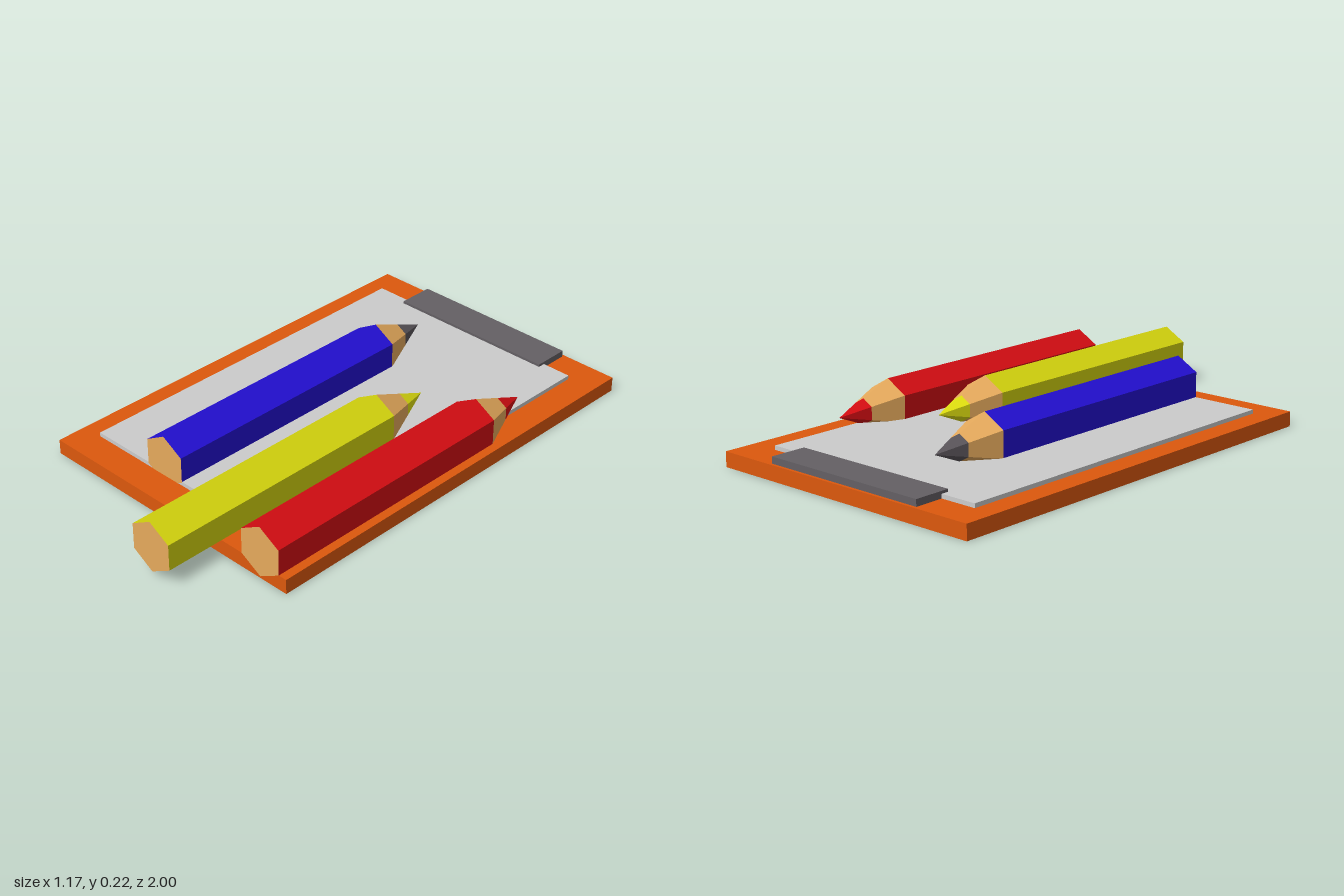
import * as THREE from 'three';

const material = (color) => new THREE.MeshStandardMaterial({ color, flatShading: true });
const WOOD = 0xe6aa5c;

// Box given by its extents on each axis
function slab(name, color, [x0, x1], [y0, y1], [z0, z1]) {
  const mesh = new THREE.Mesh(new THREE.BoxGeometry(x1 - x0, y1 - y0, z1 - z0), material(color));
  mesh.position.set((x0 + x1) / 2, (y0 + y1) / 2, (z0 + z1) / 2);
  mesh.name = name;
  return mesh;
}

// Hexagonal pencil pointing to -z, with its blunt end at z = 0
function pencil(name, color, leadColor, x, y, z) {
  const R = 0.102, BODY = 1.085, TIP = 0.245, LEAD = 0.12;
  const group = new THREE.Group();
  group.name = name;
  const section = (part, col, rFront, rBack, start, length) => {
    const geo = new THREE.CylinderGeometry(rFront, rBack, length, 6, 1, true);
    geo.rotateX(-Math.PI / 2).translate(0, 0, -start - length / 2);
    const mesh = new THREE.Mesh(geo, material(col));
    mesh.name = part;
    group.add(mesh);
  };
  const leadR = R * LEAD / TIP;
  section('body', color, R, R, 0, BODY);
  section('sharpenedWood', WOOD, leadR, R, BODY, TIP - LEAD);
  section('lead', leadColor, 0, leadR, BODY + TIP - LEAD, LEAD);
  const end = new THREE.Mesh(new THREE.CircleGeometry(R, 6, Math.PI / 2), material(WOOD));
  end.name = 'bluntEnd';
  group.add(end);
  group.position.set(x, y, z);
  return group;
}

export function createModel() {
  const model = new THREE.Group();
  model.name = 'clipboardWithPencils';
  model.add(
    slab('board', 0xdc580d, [-0.587, 0.587], [0, 0.058], [-1, 0.755]),
    slab('paper', 0xcccccc, [-0.5, 0.472], [0.058, 0.074], [-0.873, 0.635]),
    slab('clip', 0x646064, [-0.352, 0.352], [0.058, 0.084], [-0.988, -0.843]),
    pencil('bluePencil', 0x230fd4, 0x5a555a, -0.142, 0.122, 0.636),
    pencil('yellowPencil', 0xd6d60e, 0xe0e010, 0.202, 0.122, 1),
    pencil('redPencil', 0xd60d12, 0xd60d12, 0.467, 0.112, 0.758),
  );
  return model;
}
